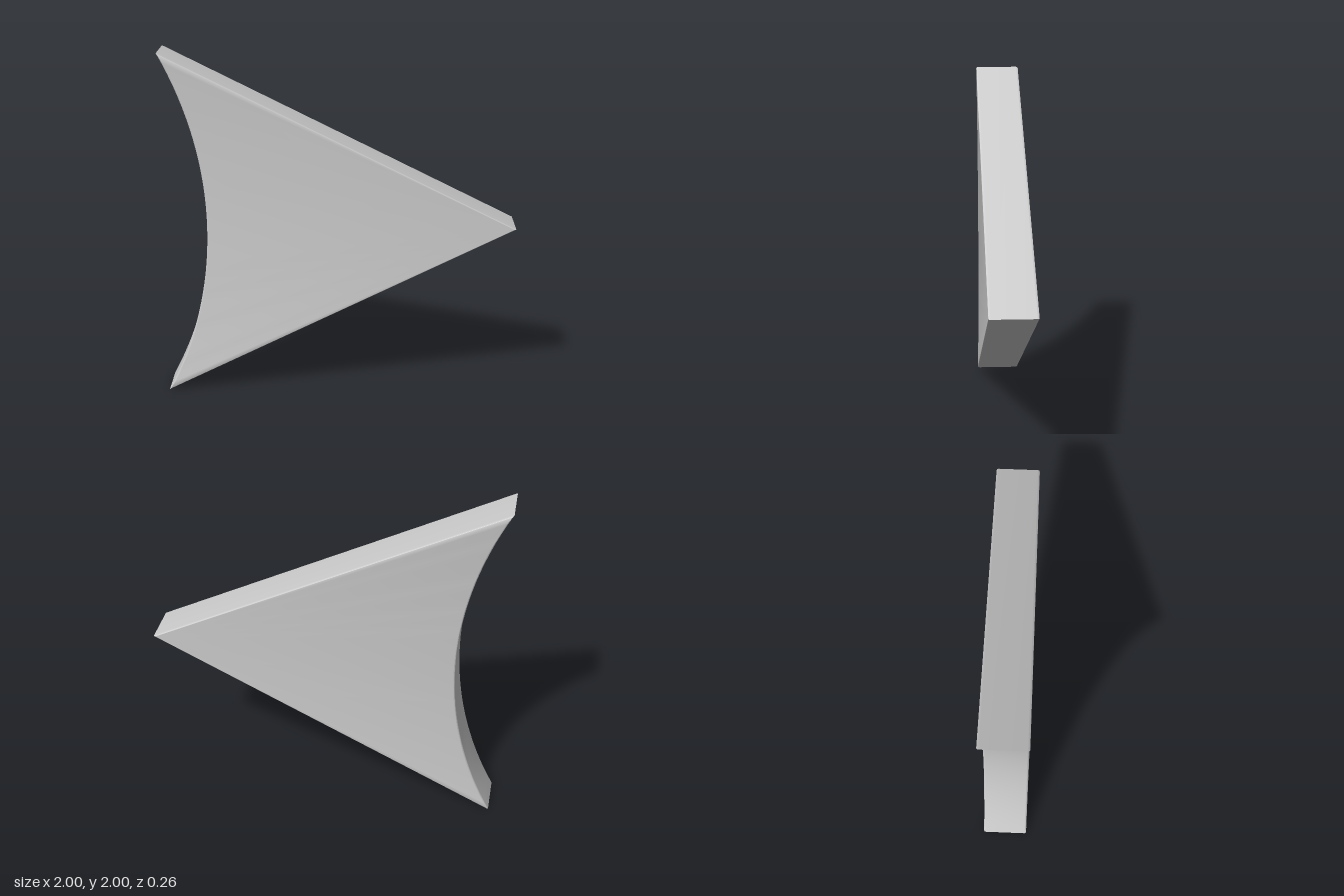
import * as THREE from 'three';
import { toCreasedNormals } from 'three/addons/utils/BufferGeometryUtils.js';

const HALF_DEPTH = 0.13;
const BEVEL = 0.012;

// Triangle pointing to +x, with its back edge hollowed by a shallow arc
function wedgeOutline() {
  const sagitta = 0.25, radius = (1 + sagitta * sagitta) / (2 * sagitta);
  const sweep = Math.asin(1 / radius);
  const points = [new THREE.Vector2(1, 1)];
  const steps = 32;
  for (let i = 0; i <= steps; i++) {
    const a = sweep * (1 - (2 * i) / steps);
    points.push(new THREE.Vector2(
      -1 + sagitta - radius + radius * Math.cos(a),
      1 + radius * Math.sin(a)
    ));
  }
  return new THREE.Shape(points);
}

export function createModel() {
  const group = new THREE.Group();
  group.name = 'concaveWedge';

  // Solid plate with finely rounded rims; the bevel stays inside the outline
  const geometry = new THREE.ExtrudeGeometry(wedgeOutline(), {
    depth: 2 * (HALF_DEPTH - BEVEL),
    bevelEnabled: true,
    bevelThickness: BEVEL,
    bevelSize: BEVEL * 0.7,
    bevelOffset: -BEVEL * 0.7,
    bevelSegments: 4,
    steps: 1,
  });
  geometry.translate(0, 0, -(HALF_DEPTH - BEVEL));

  const plate = new THREE.Mesh(
    toCreasedNormals(geometry, THREE.MathUtils.degToRad(35)),
    new THREE.MeshStandardMaterial({ color: 0xcccccc })
  );
  plate.name = 'wedgePlate';
  group.add(plate);
  return group;
}
